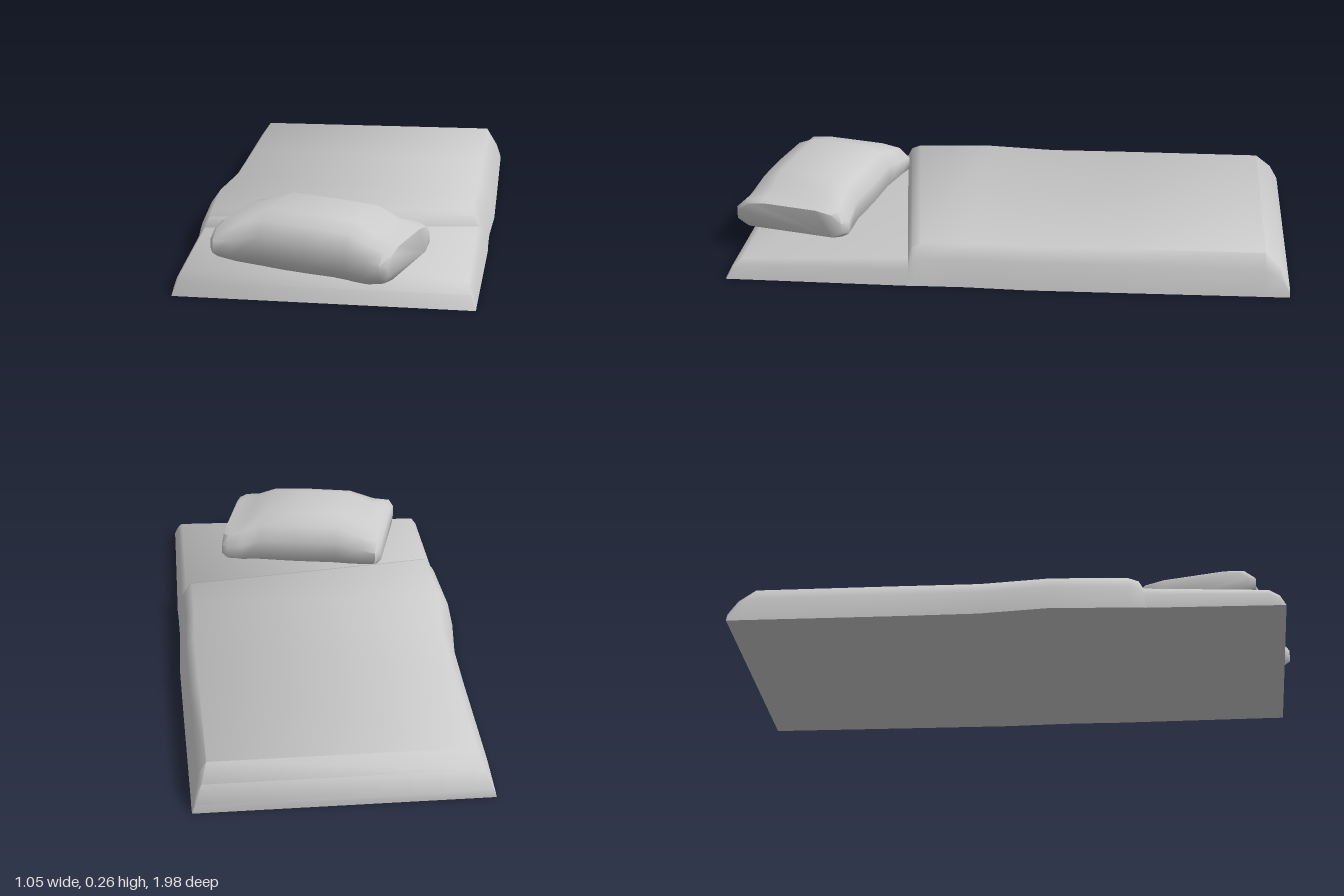
import * as THREE from 'three';
import { toCreasedNormals } from 'three/addons/utils/BufferGeometryUtils.js';

const material = new THREE.MeshStandardMaterial({ color: 0xcccccc });

// Skin a series of closed rings (arrays of [x, y, z]), optionally capping both ends.
function loft(name, rings, capped) {
  const n = rings[0].length;
  const index = [];
  for (let i = 0; i < rings.length - 1; i++) {
    for (let j = 0; j < n; j++) {
      const k = (j + 1) % n;
      const a = i * n + j, b = i * n + k, c = a + n, d = b + n;
      index.push(a, b, c, b, d, c);
    }
  }
  if (capped) {
    const last = (rings.length - 1) * n;
    for (let j = 1; j < n - 1; j++) {
      index.push(0, j + 1, j, last, last + j, last + j + 1);
    }
  }
  const geometry = new THREE.BufferGeometry();
  geometry.setAttribute('position', new THREE.Float32BufferAttribute(rings.flat(2), 3));
  geometry.setIndex(index);
  const mesh = new THREE.Mesh(toCreasedNormals(geometry, 1.1), material);
  mesh.name = name;
  return mesh;
}

// Padded cross-section running from the -x edge to the +x edge, with sloping sides.
function padRing([xl, zl, xr, zr, h]) {
  const inset = h / 0.14;
  const at = (x, y) => [x, y, zl + (zr - zl) * (x - xl) / (xr - xl)];
  return [
    at(xl, 0), at(xl + 0.02 * inset, h * 0.65), at(xl + 0.055 * inset, h),
    at(xr - 0.055 * inset, h), at(xr - 0.025 * inset, h * 0.65), at(xr, 0),
  ];
}

// Pillow cross-section: flat underside, upright sides, softly crowned top.
function pillowRing([x, w, lo, hi, crown]) {
  const h = hi - lo;
  return [
    [x, lo, -w * 0.8], [x, lo + h * 0.22, -w], [x, lo + h * 0.6, -w],
    [x, hi - crown, -w * 0.82], [x, hi, -w * 0.5], [x, hi, w * 0.5],
    [x, hi - crown, w * 0.82], [x, lo + h * 0.6, w], [x, lo + h * 0.22, w],
    [x, lo, w * 0.8],
  ];
}

export function createModel() {
  const group = new THREE.Group();
  group.name = 'bedroll';

  // Rows: left x, left z, right x, right z, height
  const fold = [-0.49, 0.47, 0.515, 0.315, 0.09];
  const mattressRows = [
    [-0.465, 0.945, 0.525, 0.957, 0],
    [-0.466, 0.925, 0.525, 0.935, 0.045],
    [-0.468, 0.89, 0.524, 0.90, 0.072],
    fold,
  ];
  const blanketRows = [
    fold,
    [-0.492, 0.455, 0.514, 0.30, 0.125],
    [-0.496, 0.42, 0.512, 0.27, 0.14],
    [-0.52, 0.15, 0.506, 0.12, 0.14],
    [-0.50, -0.10, 0.508, -0.10, 0.14],
    [-0.508, -0.40, 0.495, -0.42, 0.142],
    [-0.526, -0.88, 0.474, -0.91, 0.14],
    [-0.528, -0.935, 0.472, -0.965, 0.09],
    [-0.53, -0.965, 0.47, -0.995, 0.03],
    [-0.53, -0.967, 0.47, -0.997, 0],
  ];
  group.add(loft('mattress', mattressRows.map(padRing), false));
  group.add(loft('blanket', blanketRows.map(padRing), false));

  // Rows: position along the pillow, half depth, bottom, top, crown drop
  const pillowRows = [
    [-0.312, 0.195, 0.11, 0.198, 0.01],
    [-0.295, 0.218, 0.098, 0.21, 0.01],
    [-0.235, 0.205, 0.085, 0.222, 0.015],
    [-0.14, 0.2, 0.078, 0.26, 0.025],
    [0.02, 0.204, 0.068, 0.254, 0.025],
    [0.16, 0.2, 0.06, 0.246, 0.025],
    [0.23, 0.206, 0.06, 0.205, 0.015],
    [0.285, 0.218, 0.072, 0.188, 0.01],
    [0.31, 0.2, 0.085, 0.18, 0.01],
  ];
  const pillow = loft('pillow', pillowRows.map(pillowRing), true);
  pillow.position.set(-0.01, 0, 0.705);
  pillow.rotation.y = THREE.MathUtils.degToRad(-13);
  group.add(pillow);

  return group;
}
